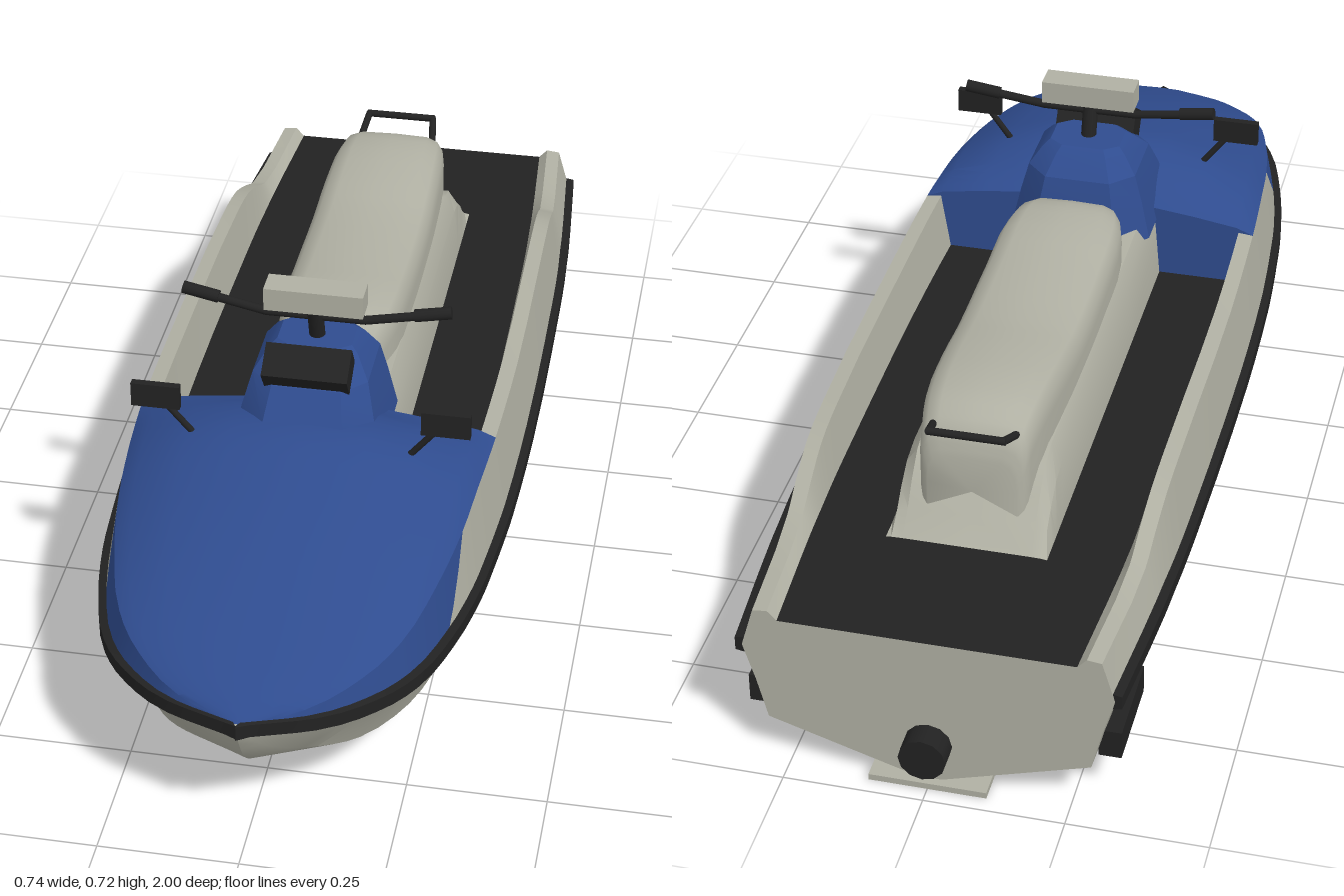
import * as THREE from 'three';
import { toCreasedNormals } from 'three/addons/utils/BufferGeometryUtils.js';

const paint = (name, color, side = THREE.FrontSide) => {
  const m = new THREE.MeshStandardMaterial({ color, side });
  m.name = name;
  return m;
};

// Hull stations from stern to bow:
// z, half beam, rail y, keel y, chine x, chine y, gunwale y, hood crown y
const STATIONS = [
  [-0.955, 0.325, 0.247, 0.005, 0.285, 0.095, 0.325, 0.46],
  [-0.70, 0.345, 0.25, 0.005, 0.295, 0.095, 0.333, 0.46],
  [-0.64, 0.348, 0.251, 0.005, 0.297, 0.095, 0.36, 0.46],
  [-0.56, 0.352, 0.252, 0.005, 0.299, 0.095, 0.39, 0.46],
  [-0.45, 0.355, 0.252, 0.005, 0.30, 0.095, 0.403, 0.46],
  [0, 0.36, 0.256, 0.005, 0.302, 0.095, 0.41, 0.46],
  [0.26, 0.354, 0.26, 0.006, 0.30, 0.096, 0.42, 0.46],
  [0.33, 0.35, 0.262, 0.01, 0.297, 0.098, 0.42, 0.495],
  [0.42, 0.343, 0.264, 0.015, 0.29, 0.10, 0.418, 0.512],
  [0.53, 0.332, 0.267, 0.022, 0.275, 0.107, 0.405, 0.49],
  [0.67, 0.305, 0.272, 0.042, 0.24, 0.118, 0.385, 0.45],
  [0.80, 0.262, 0.28, 0.085, 0.175, 0.142, 0.36, 0.40],
  [0.88, 0.205, 0.285, 0.135, 0.115, 0.18, 0.34, 0.365],
  [0.95, 0.115, 0.29, 0.205, 0.05, 0.23, 0.318, 0.333],
  [0.99, 0.01, 0.293, 0.275, 0.003, 0.28, 0.30, 0.305],
];
const FLOOR = 0.31, STERN = -0.955;

// Smoothly subdivides a table of rows whose first column is z; returns bow to stern
function refine(rows, steps) {
  const curve = new THREE.CubicInterpolant(rows.map(r => r[0]), rows.flat(), rows[0].length);
  const out = [];
  rows.forEach((r, i) => {
    const next = rows[i + 1];
    if (!next) return out.push(r);
    for (let k = 0; k < steps; k++) {
      out.push(k ? [...curve.evaluate(r[0] + (next[0] - r[0]) * k / steps)] : r);
    }
  });
  return out.reverse();
}

// Skin through cross-sections that all have the same number of points
function loft(sections, crease = 0.6) {
  const n = sections[0].length, index = [];
  for (let i = 0; i < sections.length - 1; i++) {
    for (let j = 0; j < n - 1; j++) {
      const a = i * n + j, d = a + n;
      index.push(a, d, d + 1, a, d + 1, a + 1);
    }
  }
  const g = new THREE.BufferGeometry();
  g.setAttribute('position', new THREE.Float32BufferAttribute(sections.flat(2), 3));
  g.setIndex(index);
  return toCreasedNormals(g, crease);
}

const flip = s => s.map(([x, y, z]) => [-x, y, z]).reverse();
// Completes a half section that ends on the centre line
const whole = s => [...s, ...flip(s).slice(1)];
const collapse = (s, p) => s.map(() => p);

export function createModel() {
  const model = new THREE.Group();
  model.name = 'personalWatercraft';
  const grey = paint('pale grey', 0xb0b0a3, THREE.DoubleSide);
  const blue = paint('deep blue', 0x2f4c8f, THREE.DoubleSide);
  const black = paint('black', 0x222222, THREE.DoubleSide);

  const add = (name, geometry, material, x = 0, y = 0, z = 0) => {
    const mesh = new THREE.Mesh(geometry, material);
    mesh.name = name;
    mesh.position.set(x, y, z);
    model.add(mesh);
    return mesh;
  };
  const box = (name, w, h, d, mat, x, y, z) => add(name, new THREE.BoxGeometry(w, h, d), mat, x, y, z);
  const rod = (name, a, b, r, mat) => {
    const p = new THREE.Vector3(...a), q = new THREE.Vector3(...b), dir = q.clone().sub(p);
    const mesh = add(name, new THREE.CylinderGeometry(r, r, dir.length(), 12), mat);
    mesh.position.copy(p).add(q).multiplyScalar(0.5);
    mesh.quaternion.setFromUnitVectors(new THREE.Vector3(0, 1, 0), dir.normalize());
    return mesh;
  };
  const bothSides = (name, sections, mat) => {
    add(name + 'Left', loft(sections), mat);
    add(name + 'Right', loft(sections.map(flip)), mat);
  };

  const stations = refine(STATIONS, 3);
  const aft = stations.filter(s => s[0] <= 0.26);

  // Lower hull: keel, chine and flared side
  const hullSection = ([z, xr, yr, yk, xc, yc]) => {
    const half = [[-xr, yr, z], [-(xc + 0.47 * (xr - xc)), yc + 0.52 * (yr - yc), z], [-xc, yc, z], [0, yk, z]];
    return whole(half);
  };
  add('hull', loft(stations.map(hullSection), 0.4), grey);

  // Side walls: the colour edge climbs from the rail to the shoulder
  const rail = ([z, xr, yr]) => [xr, yr, z];
  const shoulder = s => [s[1] * 0.93, s[6], s[0]];
  const border = s => {
    const t = THREE.MathUtils.clamp((0.67 - s[0]) / 0.14, 0, 1), a = rail(s), b = shoulder(s);
    return a.map((v, i) => v + (b[i] - v) * t);
  };
  bothSides('sideWall', stations.filter(s => s[0] <= 0.67).map(s => [rail(s), border(s)]), grey);
  const gunwale = s => [shoulder(s), [s[1] * 0.85, s[6] + 0.003, s[0]], [s[1] * 0.8, FLOOR, s[0]]];
  bothSides('gunwale', aft.map(gunwale), grey);

  // Hood with its rear wall dropping into the footwell
  const hood = stations.filter(s => s[0] >= 0.26).map(s => {
    const [z, xr, , , , , ys, top] = s;
    return whole([border(s), shoulder(s), [xr * 0.84, ys + 0.33 * (top - ys), z],
      [xr * 0.6, ys + 0.66 * (top - ys), z], [xr * 0.36, ys + 0.92 * (top - ys), z], [0, top, z]]);
  });
  hood.push(hood[hood.length - 1].map(([x, , z]) => [x, 0.3, z]));
  add('hood', loft(hood, 0.5), blue);

  // Footwell floor and transom
  add('deckFloor', loft(aft.map(([z, xr]) => [[xr * 0.8, FLOOR, z], [-xr * 0.8, FLOOR, z]])), black);
  const end = STATIONS[0];
  const outline = [...hullSection(end), ...gunwale(end), ...flip(gunwale(end))];
  const transom = new THREE.ShapeGeometry(new THREE.Shape(outline.map(p => new THREE.Vector2(p[0], p[1]))));
  add('transom', transom.rotateY(Math.PI), grey, 0, 0, STERN);

  // Rubber bumper along the rail
  const bumper = stations.map(([z, x, y]) =>
    [[x - 0.004, y - 0.016, z], [x + 0.012, y - 0.013, z], [x + 0.012, y + 0.013, z], [x - 0.004, y + 0.016, z]]);
  bumper.unshift(bumper[0].map(p => [0, p[1], 1]));
  bumper.push(collapse(bumper[0], [end[1], end[2], STERN]));
  bothSides('bumper', bumper, black);

  // Seat pedestal
  const base = [[-0.69, 0.312], [-0.65, 0.35], [-0.62, 0.39], [-0.58, 0.428], [-0.53, 0.443], [0, 0.45], [0.3, 0.46]]
    .reverse().map(([z, h]) => whole([[0.145, FLOOR, z], [0.135, FLOOR + (h - FLOOR) * 0.75, z], [0.115, h, z], [0, h, z]]));
  add('seatBase', loft(base, 0.5), grey);

  // Cushion: z, half width, top height
  const cushion = refine([
    [-0.645, 0.08, 0.47], [-0.635, 0.092, 0.505], [-0.605, 0.1, 0.537], [-0.55, 0.108, 0.554],
    [-0.42, 0.115, 0.55], [-0.3, 0.117, 0.537], [-0.1, 0.117, 0.541], [0.05, 0.112, 0.55],
    [0.12, 0.094, 0.537], [0.15, 0.08, 0.51],
  ], 3).map(([z, w, t]) => whole([[w, 0.36, z], [w, t - 0.06, z], [w * 0.97, t - 0.03, z],
    [w * 0.86, t - 0.011, z], [w * 0.65, t - 0.002, z], [0, t, z]]));
  cushion.unshift(collapse(cushion[0], [0, 0.42, 0.15]));
  cushion.push(collapse(cushion[0], [0, 0.4, -0.645]));
  add('seat', loft(cushion, 0.8), grey);

  // Grab handle behind the seat
  for (const s of [-1, 1]) rod('grabHandleArm', [s * 0.075, 0.512, -0.61], [s * 0.066, 0.54, -0.675], 0.007, black);
  rod('grabHandleBar', [-0.07, 0.54, -0.675], [0.07, 0.54, -0.675], 0.007, black);

  // Steering console: stacked chamfered rings
  const corners = [[1, -0.6], [1, 0.6], [0.6, 1], [-0.6, 1], [-1, 0.6], [-1, -0.6], [-0.6, -1], [0.6, -1], [1, -0.6]];
  const rings = [[0.43, 0.137, 0.13, 0.43], [0.505, 0.12, 0.143, 0.41], [0.56, 0.105, 0.158, 0.37],
    [0.596, 0.08, 0.19, 0.32], [0.607, 0.068, 0.205, 0.305]]
    .map(([y, w, a, b]) => corners.map(([cx, cz]) => [cx * w, y, (a + b) / 2 + cz * (b - a) / 2]));
  rings.push(collapse(corners, [0, 0.607, 0.255]));
  add('console', loft(rings, 0.3), blue);
  box('instrumentPod', 0.155, 0.05, 0.065, black, 0, 0.592, 0.35).rotation.x = 0.6;

  // Handlebar with grips and chest pad
  rod('steeringPost', [0, 0.595, 0.255], [0, 0.672, 0.278], 0.015, black);
  rod('handlebarCentre', [-0.092, 0.654, 0.272], [0.092, 0.654, 0.272], 0.008, black);
  box('handlebarPad', 0.18, 0.044, 0.052, grey, 0, 0.694, 0.272);

  for (const s of [-1, 1]) {
    rod('handlebarArm', [s * 0.09, 0.654, 0.272], [s * 0.24, 0.679, 0.262], 0.008, black);
    rod('grip', [s * 0.178, 0.67, 0.266], [s * 0.244, 0.681, 0.262], 0.0115, black);
    // Mirrors
    rod('mirrorStalk', [s * 0.192, 0.472, 0.42], [s * 0.245, 0.54, 0.425], 0.006, black);
    box('mirror', 0.088, 0.047, 0.014, black, s * 0.261, 0.554, 0.425);
    // Stabiliser fins near the stern
    box('sponson', 0.04, 0.055, 0.18, black, s * 0.31, 0.122, -0.83);
  }

  // Jet nozzle and ride plate
  rod('jetNozzle', [0, 0.09, -0.94], [0, 0.09, -1], 0.042, black);
  box('ridePlate', 0.21, 0.012, 0.205, grey, 0, 0.006, -0.868);

  return model;
}
